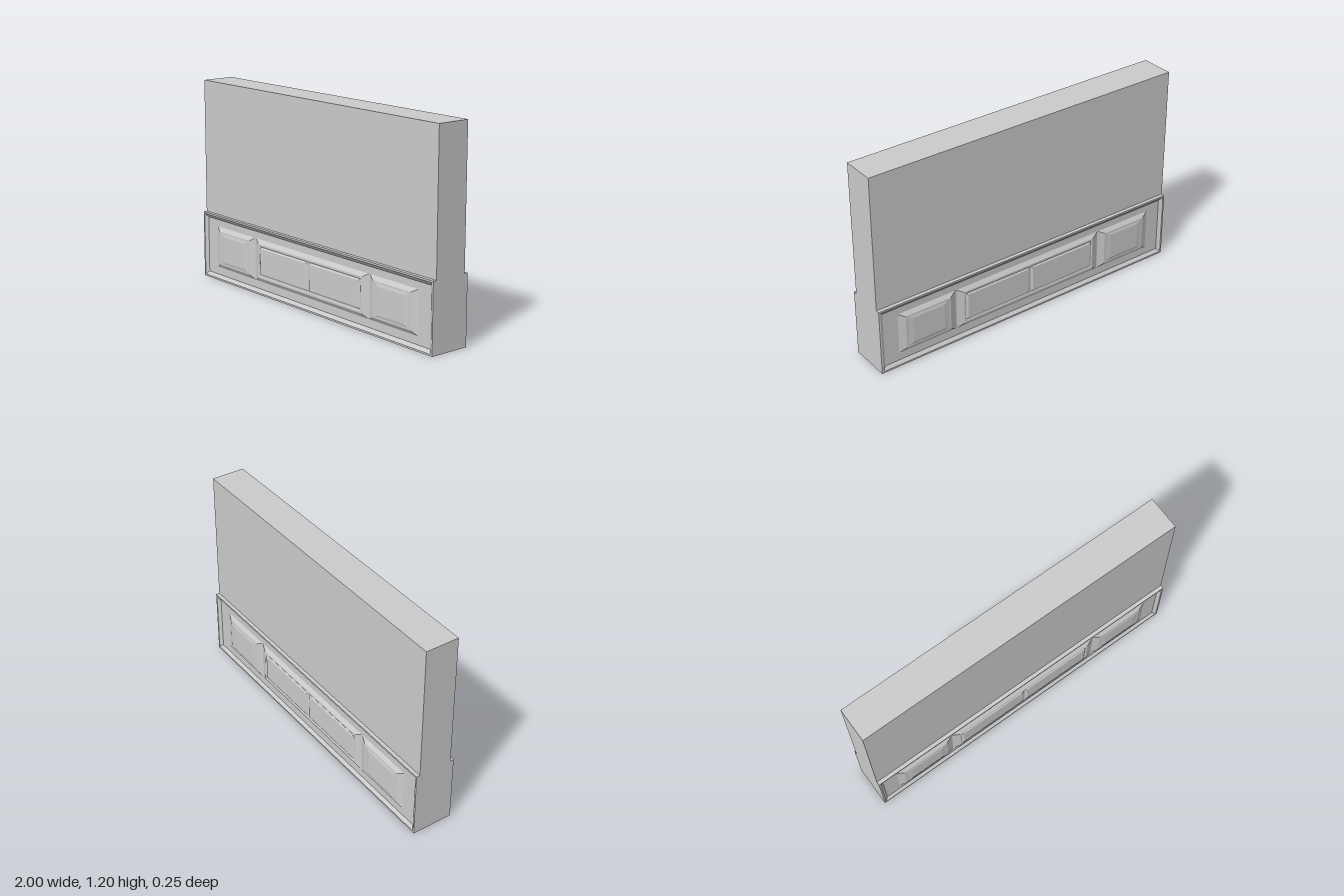
import * as THREE from 'three';

const material = new THREE.MeshStandardMaterial({ color: 0xcccccc, flatShading: true, side: THREE.DoubleSide });

function box(name, w, h, d, y) {
  const mesh = new THREE.Mesh(new THREE.BoxGeometry(w, h, d), material);
  mesh.name = name;
  mesh.position.y = y;
  return mesh;
}

// Mitred moulding: nested rectangles, each step is [inset x, inset y, z], capped by the last one
function moulding(name, x0, x1, y0, y1, steps) {
  const positions = [], index = [];
  steps.forEach(([ix, iy, z], s) => {
    positions.push(x0 + ix, y0 + iy, z, x1 - ix, y0 + iy, z, x1 - ix, y1 - iy, z, x0 + ix, y1 - iy, z);
    if (s === 0) return;
    for (let k = 0; k < 4; k++) {
      const n = (k + 1) % 4, a = (s - 1) * 4, b = s * 4;
      index.push(a + k, a + n, b + n, a + k, b + n, b + k);
    }
  });
  const c = (steps.length - 1) * 4;
  index.push(c, c + 1, c + 2, c, c + 2, c + 3);
  const indexed = new THREE.BufferGeometry();
  indexed.setAttribute('position', new THREE.Float32BufferAttribute(positions, 3));
  indexed.setIndex(index);
  const geometry = indexed.toNonIndexed();
  geometry.computeVertexNormals();
  const mesh = new THREE.Mesh(geometry, material);
  mesh.name = name;
  return mesh;
}

// Panelled face of the base, facing +z
function panelling(name) {
  const face = new THREE.Group();
  face.name = name;

  // Outer rim stepping down to the sunken border
  face.add(moulding('rim', -1, 1, 0, 0.4,
    [[0, 0, 0.1], [0, 0, 0.122], [0.01, 0.01, 0.122], [0.03, 0.03, 0.107]]));

  // Square end panels with a raised field
  const endSteps = [[0, 0, 0.106], [0.045, 0.025, 0.122], [0.06, 0.034, 0.122], [0.09, 0.05, 0.126]];
  face.add(moulding('endPanel', -0.88, -0.5, 0.075, 0.33, endSteps));
  face.add(moulding('endPanel', 0.5, 0.88, 0.075, 0.33, endSteps));

  // Long middle block carrying two raised fields
  face.add(moulding('middleBlock', -0.5, 0.5, 0.075, 0.33,
    [[0, 0, 0.106], [0.045, 0.025, 0.122], [0.05, 0.035, 0.122], [0.055, 0.04, 0.12]]));
  const fieldSteps = [[0, 0, 0.119], [0.012, 0.012, 0.126]];
  face.add(moulding('middlePanel', -0.443, -0.003, 0.118, 0.292, fieldSteps));
  face.add(moulding('middlePanel', 0.003, 0.443, 0.118, 0.292, fieldSteps));
  return face;
}

export function createModel() {
  const model = new THREE.Group();
  model.name = 'panelledWall';
  model.add(box('upperWall', 2, 0.8, 0.2, 0.8));
  model.add(box('baseCore', 2, 0.4, 0.2, 0.2));

  const front = panelling('frontPanelling');
  const back = panelling('backPanelling');
  back.rotation.y = Math.PI;
  model.add(front, back);
  return model;
}
